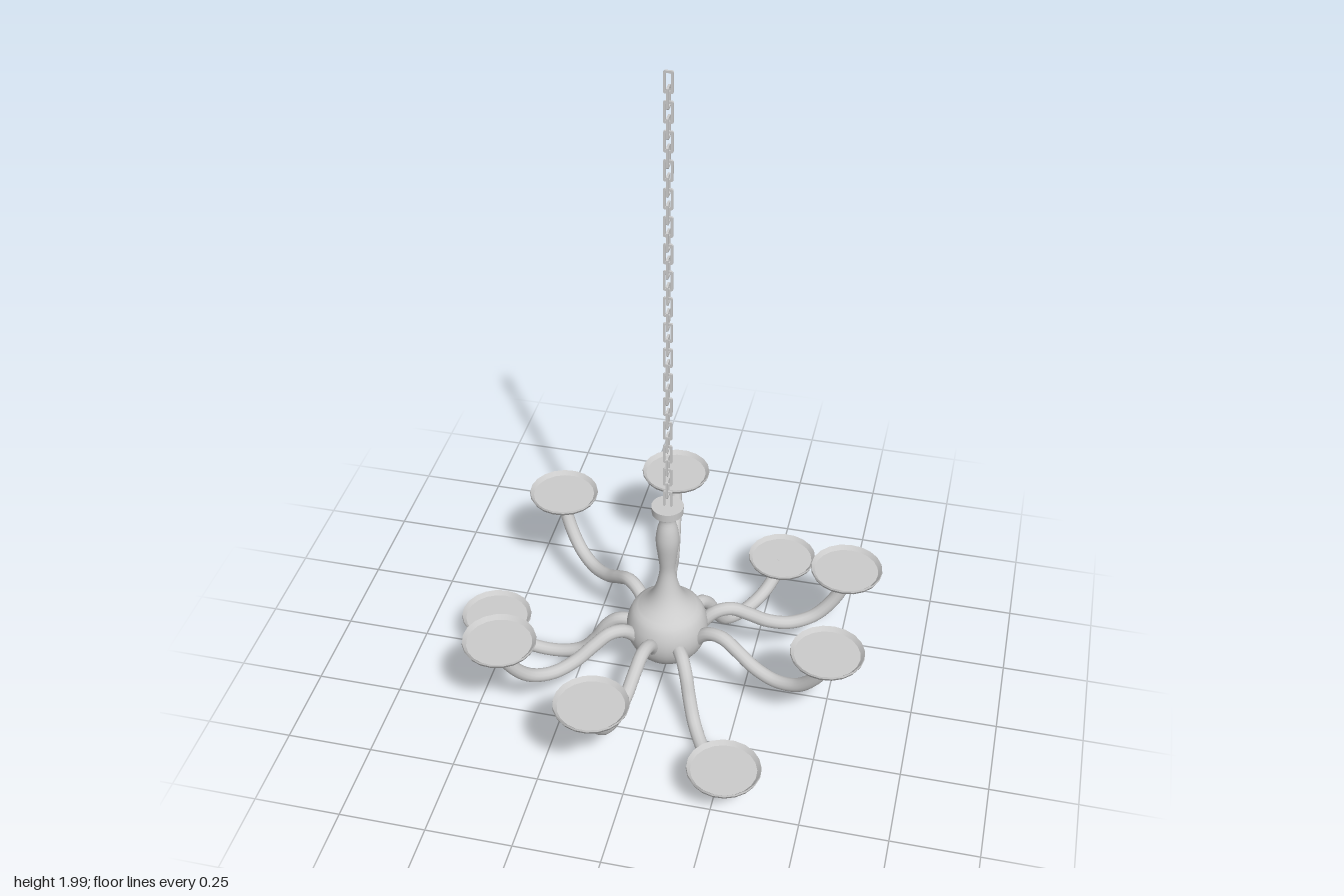
import * as THREE from 'three';

const grey = new THREE.MeshStandardMaterial({ color: 0xcccccc, side: THREE.DoubleSide });
const CENTRE_X = 0.013;

function add(parent, geometry, name) {
  const mesh = new THREE.Mesh(geometry, grey);
  mesh.name = name;
  parent.add(mesh);
  return mesh;
}

const points = (list) => list.map(([x, y]) => new THREE.Vector2(x, y));

// Globe flowing into a turned neck with a flat cap
function bodyGeometry() {
  const profile = [];
  for (let i = 0; i <= 14; i++) {
    const a = -Math.PI / 2 + (i / 14) * 2.15;
    profile.push(new THREE.Vector2(Math.max(0, 0.12 * Math.cos(a)), 0.212 + 0.12 * Math.sin(a)));
  }
  const neck = new THREE.SplineCurve(points([
    [0.088, 0.286], [0.062, 0.31], [0.043, 0.34], [0.03, 0.38], [0.023, 0.425],
    [0.027, 0.47], [0.034, 0.53], [0.03, 0.575], [0.021, 0.612], [0.03, 0.626], [0.045, 0.636],
  ]));
  profile.push(...neck.getPoints(36));
  return new THREE.LatheGeometry(profile, 32);
}

// Shallow drip tray, with doubled profile points to keep its edges crisp
function trayGeometry() {
  return new THREE.LatheGeometry(points([
    [0, 0], [0.075, 0], [0.09, 0.004], [0.1, 0.012], [0.105, 0.022], [0.105, 0.022],
    [0.104, 0.028], [0.104, 0.028], [0.093, 0.016], [0.093, 0.016], [0, 0.016],
  ]), 20);
}

// S-curved arm in the xy plane, running outward along +x
function armGeometry(path) {
  const curve = new THREE.CatmullRomCurve3(path.map(([x, y]) => new THREE.Vector3(x, y, 0)));
  return new THREE.TubeGeometry(curve, 40, 0.02, 12);
}

// Rectangular chain link with a slot
function linkGeometry() {
  const rect = (target, w, h, c) => {
    target.moveTo(-w + c, -h);
    [[w - c, -h], [w, -h + c], [w, h - c], [w - c, h], [-w + c, h], [-w, h - c], [-w, -h + c], [-w + c, -h]]
      .forEach(([x, y]) => target.lineTo(x, y));
    return target;
  };
  const shape = rect(new THREE.Shape(), 0.013, 0.03, 0.003);
  shape.holes.push(rect(new THREE.Path(), 0.007, 0.024, 0.002));
  const geometry = new THREE.ExtrudeGeometry(shape, { depth: 0.006, bevelEnabled: false });
  return geometry.translate(0, 0, -0.003);
}

export function createModel() {
  const model = new THREE.Group();
  model.name = 'chandelier';
  const centre = new THREE.Group();
  centre.name = 'fixture';
  centre.position.x = CENTRE_X;
  model.add(centre);

  add(centre, bodyGeometry(), 'body');
  add(centre, new THREE.CylinderGeometry(0.046, 0.045, 0.024, 32), 'neckCap').position.y = 0.648;

  // Nine arms; every third one hangs low
  const high = armGeometry([
    [0.09, 0.18], [0.112, 0.215], [0.145, 0.243], [0.19, 0.25], [0.24, 0.225], [0.3, 0.19],
    [0.37, 0.175], [0.44, 0.195], [0.495, 0.25], [0.525, 0.31], [0.53, 0.35],
  ]);
  const low = armGeometry([
    [0.08, 0.2], [0.115, 0.206], [0.15, 0.2], [0.185, 0.168], [0.215, 0.115], [0.26, 0.06],
    [0.32, 0.035], [0.39, 0.031], [0.455, 0.047], [0.505, 0.085], [0.53, 0.122],
  ]);
  const tray = trayGeometry();
  for (let i = 0; i < 9; i++) {
    const isLow = i % 3 === 0;
    const arm = new THREE.Group();
    arm.name = isLow ? 'lowArm' : 'highArm';
    arm.rotation.y = Math.PI + (i * Math.PI * 2) / 9;
    add(arm, isLow ? low : high, 'armTube');
    add(arm, tray, 'tray').position.set(0.53, isLow ? 0.116 : 0.346, 0);
    centre.add(arm);
  }

  // Hanging chain of links turned alternately by a quarter
  const chain = new THREE.Group();
  chain.name = 'chain';
  const link = linkGeometry();
  const count = 33;
  for (let i = 0; i < count; i++) {
    const mesh = add(chain, link, 'chainLink');
    mesh.position.y = 1.97 - (i * (1.97 - 0.682)) / (count - 1);
    mesh.rotation.y = (i % 2) * Math.PI / 2;
  }
  centre.add(chain);
  return model;
}
